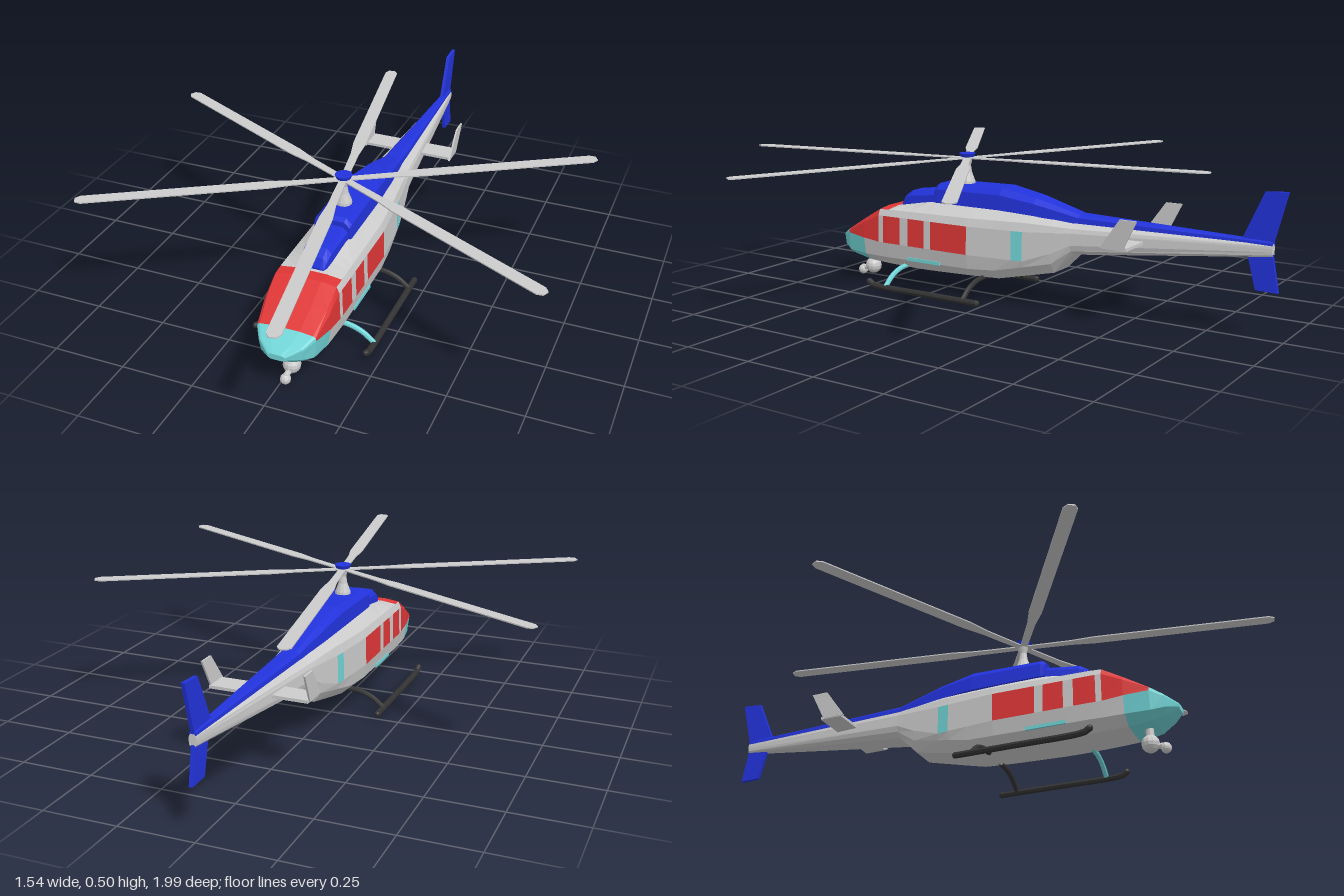
import * as THREE from 'three';

const mat = (color) => new THREE.MeshStandardMaterial({ color, flatShading: true, side: THREE.DoubleSide });
const GREY = mat(0xcccccc), BLUE = mat(0x2233dd), RED = mat(0xe03636), TEAL = mat(0x70d4d6), DARK = mat(0x333333);

// Piecewise-linear curve over z, given as [z, value] pairs running from front to back
const curve = (...pts) => (z) => {
  let i = 0;
  while (i < pts.length - 2 && z < pts[i + 1][0]) i++;
  const [a, b] = [pts[i], pts[i + 1]];
  return a[1] + (b[1] - a[1]) * THREE.MathUtils.clamp((z - a[0]) / (b[0] - a[0]), 0, 1);
};

// Mirrored ring from half-section points [x, y], bottom to top
const ring = (half, z) => [
  ...half.map(([x, y]) => new THREE.Vector3(x, y, z)),
  ...half.slice().reverse().map(([x, y]) => new THREE.Vector3(-x, y, z)),
];

// Skin between rings, with one mesh per material chosen by paint(ringIndex, level)
function loft(name, rings, paint) {
  const n = rings[0].length, buckets = new Map();
  const tri = (m, ...v) => {
    if (!buckets.has(m)) buckets.set(m, []);
    buckets.get(m).push(...v);
  };
  for (let i = 0; i < rings.length - 1; i++) {
    for (let j = 0; j < n; j++) {
      const k = (j + 1) % n, level = j === n - 1 ? -1 : Math.min(j, n - 2 - j);
      const m = paint(i, level);
      const [a, b, c, d] = [rings[i][j], rings[i][k], rings[i + 1][k], rings[i + 1][j]];
      tri(m, a, d, c);
      tri(m, a, c, b);
    }
  }
  const last = rings[rings.length - 1];
  for (let j = 1; j < n - 1; j++) {
    tri(paint(0, 0), rings[0][0], rings[0][j], rings[0][j + 1]);
    tri(paint(rings.length - 2, 0), last[0], last[j + 1], last[j]);
  }
  const group = new THREE.Group();
  group.name = name;
  for (const [m, pts] of buckets) {
    const geo = new THREE.BufferGeometry().setFromPoints(pts);
    geo.computeVertexNormals();
    const mesh = new THREE.Mesh(geo, m);
    mesh.name = name + 'Panel';
    group.add(mesh);
  }
  return group;
}

// Thin plate outlined in (z, y), centred on x
function plate(points, thickness) {
  const shape = new THREE.Shape(points.map(([z, y]) => new THREE.Vector2(z, y)));
  const geo = new THREE.ExtrudeGeometry(shape, { depth: thickness, bevelEnabled: false });
  return geo.translate(0, 0, -thickness / 2).rotateY(-Math.PI / 2);
}

function tube(points, radius, segments = 12) {
  const path = new THREE.CatmullRomCurve3(points.map((p) => new THREE.Vector3(...p)));
  return new THREE.TubeGeometry(path, segments, radius, 8, false);
}

export function createModel() {
  const model = new THREE.Group();
  model.name = 'helicopter';
  const body = new THREE.Group();
  body.name = 'airframe';
  body.position.x = 0.016;
  model.add(body);
  const add = (name, geo, material, x = 0, y = 0, z = 0, parent = body) => {
    const mesh = new THREE.Mesh(geo, material);
    mesh.name = name;
    mesh.position.set(x, y, z);
    parent.add(mesh);
    return mesh;
  };

  // Fuselage and tail boom: width and six height lines along z
  const width = curve([0.687, 0.03], [0.65, 0.075], [0.61, 0.1], [0.53, 0.113], [0.42, 0.117],
    [0.08, 0.117], [-0.09, 0.1], [-0.23, 0.08], [-0.3, 0.07], [-0.96, 0.012]);
  const levels = [
    [0.6, curve([0.687, 0.135], [0.62, 0.095], [0.52, 0.08], [0.3, 0.075], [-0.02, 0.085], [-0.23, 0.13], [-0.3, 0.2], [-0.96, 0.27])],
    [0.92, curve([0.687, 0.14], [0.61, 0.115], [0.5, 0.11], [0, 0.115], [-0.23, 0.165], [-0.3, 0.215], [-0.96, 0.275])],
    [1, curve([0.687, 0.148], [0.61, 0.18], [0.46, 0.165], [-0.13, 0.165], [-0.23, 0.2], [-0.3, 0.235], [-0.96, 0.285])],
    [0.98, curve([0.687, 0.15], [0.61, 0.19], [0.46, 0.262], [-0.13, 0.265], [-0.3, 0.275], [-0.96, 0.295])],
    [0.9, curve([0.687, 0.152], [0.61, 0.195], [0.46, 0.283], [0.42, 0.285], [-0.13, 0.295], [-0.3, 0.29], [-0.96, 0.302])],
    [0.45, curve([0.687, 0.155], [0.61, 0.2], [0.46, 0.29], [0.42, 0.292], [0.25, 0.325], [-0.15, 0.325], [-0.3, 0.305], [-0.96, 0.308])],
  ];
  const stations = [0.687, 0.65, 0.61, 0.53, 0.46, 0.44, 0.42, 0.365, 0.33, 0.26, 0.23, 0.08, -0.02, -0.09, -0.13, -0.23, -0.3, -0.96];
  const rings = stations.map((z) => ring(levels.map(([f, y]) => [f * width(z), y(z)]), z));
  const windowBays = [5, 6, 8, 10];
  body.add(loft('fuselage', rings, (i, level) => {
    if (i < 2 || (i === 2 && level < 2)) return TEAL; // nose
    if (i < 4 && level >= 2) return RED; // windshield
    if (i < 6 && level >= 4) return RED; // windshield top
    if (level === 2 && windowBays.includes(i)) return RED; // side windows
    if (level === 2 && i === 13) return TEAL; // rear side stripe
    return GREY;
  }));

  // Engine cowling running back along the boom: [z, bottom half width, top half width, bottom y, top y]
  const cowl = (name, rows) => body.add(loft(name, rows.map(([z, wb, wt, yb, yt]) =>
    ring([[wb, yb], [(wb * 2 + wt) / 3, yb + (yt - yb) * 0.7], [wt * 0.75, yt]], z)), () => BLUE));
  cowl('engineCowling', [
    [0.25, 0.064, 0.056, 0.322, 0.38], [0.235, 0.066, 0.058, 0.322, 0.39], [-0.02, 0.064, 0.056, 0.322, 0.395],
    [-0.15, 0.054, 0.045, 0.315, 0.372], [-0.31, 0.035, 0.028, 0.298, 0.331], [-0.96, 0.01, 0.007, 0.302, 0.316],
  ]);
  cowl('frontIntake', [
    [0.41, 0.04, 0.034, 0.28, 0.3], [0.395, 0.046, 0.04, 0.285, 0.33],
    [0.365, 0.05, 0.042, 0.29, 0.35], [0.24, 0.058, 0.05, 0.31, 0.364],
  ]);

  // Tail fins
  add('upperTailFin', plate([[-0.86, 0.31], [-0.96, 0.31], [-1, 0.47], [-0.928, 0.465]], 0.012), BLUE);
  add('lowerTailFin', plate([[-0.88, 0.272], [-0.91, 0.16], [-0.982, 0.158], [-0.96, 0.275]], 0.012), BLUE);

  // Horizontal stabilizer with swept end plates
  add('stabilizer', new THREE.BoxGeometry(0.33, 0.01, 0.08), GREY, 0, 0.27, -0.512);
  for (const s of [-1, 1]) {
    const end = plate([[-0.46, 0], [-0.54, 0], [-0.588, 0.098], [-0.53, 0.098]], 0.006);
    add('stabilizerEndPlate', end, GREY, s * 0.165, 0.267, 0).rotation.z = -s * 0.04;
  }

  // Mast and hub
  const rotor = new THREE.Group();
  rotor.name = 'mainRotor';
  rotor.position.z = 0.15;
  body.add(rotor);
  const mast = [[0.03, 0.375], [0.027, 0.4], [0.016, 0.43], [0.012, 0.455], [0.02, 0.488]].map((p) => new THREE.Vector2(...p));
  add('mast', new THREE.LatheGeometry(mast, 12), GREY, 0, 0, 0, rotor);
  add('hubCap', new THREE.CylinderGeometry(0.029, 0.024, 0.012, 16), BLUE, 0, 0.491, 0, rotor);

  // Six blades with narrow roots and clipped tips
  const outline = [[0, -0.012], [0.17, -0.014], [0.25, -0.022], [0.835, -0.022], [0.853, -0.011],
    [0.853, 0.011], [0.835, 0.022], [0.25, 0.022], [0.17, 0.014], [0, 0.012]].map((p) => new THREE.Vector2(...p));
  const bladeGeo = new THREE.ExtrudeGeometry(new THREE.Shape(outline), { depth: 0.004, bevelEnabled: false });
  bladeGeo.rotateX(-Math.PI / 2);
  for (const angle of [26.5, 80, 149, 206.5, 260, 329]) {
    add('rotorBlade', bladeGeo, GREY, 0, 0.478, 0, rotor).rotation.y = -THREE.MathUtils.degToRad(angle);
  }

  // Landing skids and struts
  for (const s of [-1, 1]) {
    const x = s * 0.195;
    add('skid', tube([[x, 0.04, 0.442], [x, 0.03, 0.425], [x, 0.026, 0.39], [x, 0.026, 0.2], [x, 0.026, -0.015]], 0.011, 24), DARK);
    add('skidEnd', new THREE.SphereGeometry(0.011, 8, 6), DARK, x, 0.04, 0.442);
    add('skidEnd', new THREE.SphereGeometry(0.011, 8, 6), DARK, x, 0.026, -0.015);
    const strut = (z) => tube([[s * 0.05, 0.082, z], [s * 0.11, 0.077, z], [s * 0.155, 0.06, z], [x, 0.028, z]], 0.009);
    add('rearStrut', strut(0.042), DARK);
    if (s > 0) add('frontStrut', strut(0.37), TEAL);
    add('sideStep', new THREE.BoxGeometry(0.012, 0.012, 0.14), TEAL, s * 0.107, 0.117, 0.265);
  }

  // Camera turret under the nose
  const turret = new THREE.Group();
  turret.name = 'cameraTurret';
  body.add(turret);
  add('turretMount', new THREE.CylinderGeometry(0.014, 0.014, 0.05, 10), GREY, 0, 0.075, 0.58, turret);
  add('turretBall', new THREE.SphereGeometry(0.03, 12, 8), GREY, 0, 0.04, 0.58, turret);
  add('turretArm', new THREE.CylinderGeometry(0.01, 0.01, 0.05, 8).rotateX(Math.PI / 2), GREY, 0, 0.028, 0.608, turret);
  add('turretLens', new THREE.SphereGeometry(0.018, 10, 8), GREY, 0, 0.018, 0.63, turret);
  return model;
}
